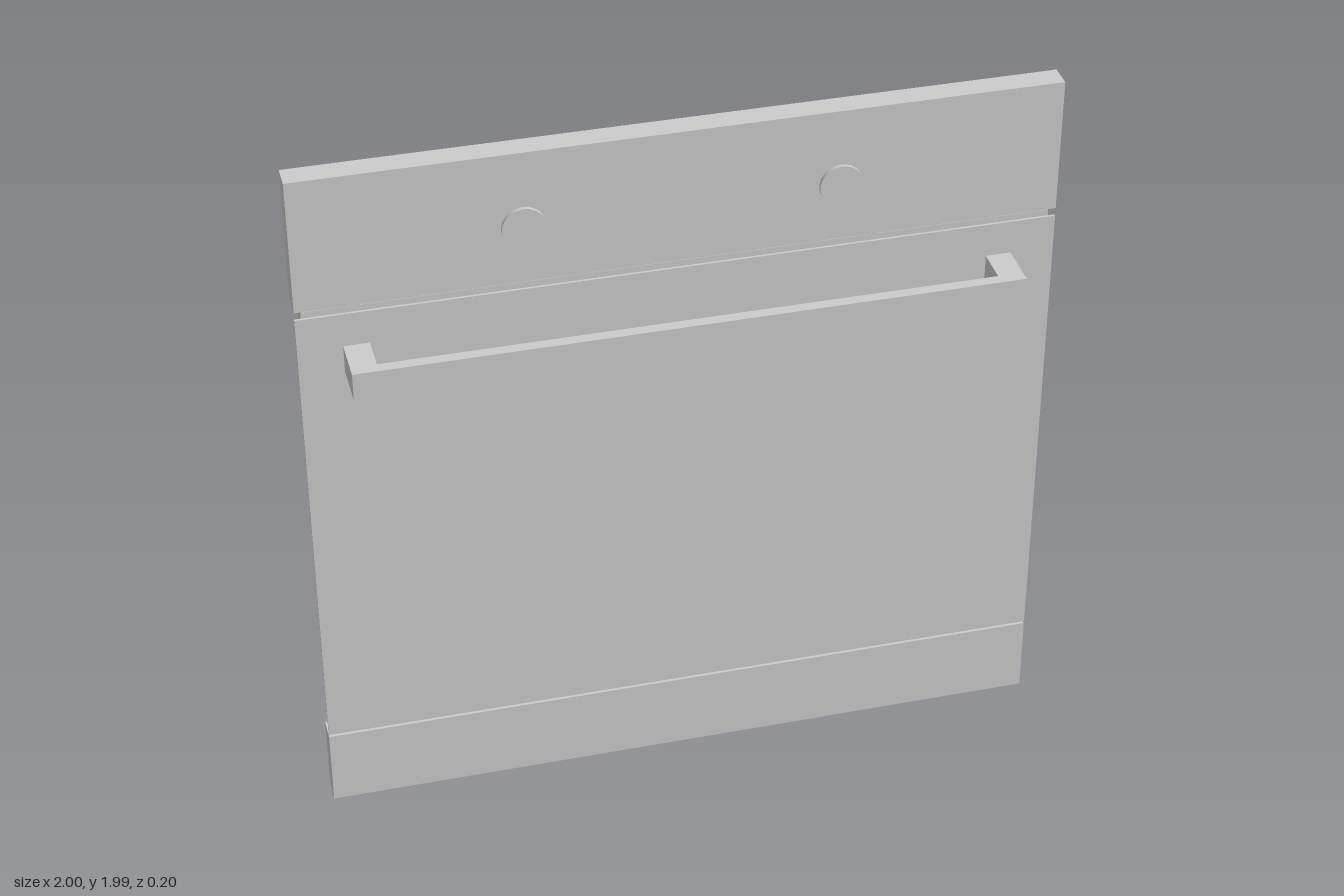
import * as THREE from 'three';

const FRONT = -0.033, BACK = -0.1;

export function createModel() {
  const group = new THREE.Group();
  const solid = new THREE.MeshStandardMaterial({ color: 0xcccccc });
  const sheet = new THREE.MeshStandardMaterial({ color: 0xcccccc, side: THREE.DoubleSide });

  const add = (name, geometry, material = solid) => {
    const mesh = new THREE.Mesh(geometry, material);
    mesh.name = name;
    group.add(mesh);
    return mesh;
  };

  // Box between height and depth limits, centred on x
  const slab = (width, y0, y1, z0, z1) =>
    new THREE.BoxGeometry(width, y1 - y0, z1 - z0).translate(0, (y0 + y1) / 2, (z0 + z1) / 2);

  // Folded sheet-metal tray: a box without its back (-z) face
  const tray = (width, y0, y1, z1) => {
    const geometry = slab(width, y0, y1, BACK, z1);
    geometry.setIndex(Array.from(geometry.index.array).slice(0, 30));
    geometry.clearGroups();
    return geometry;
  };

  // Open-backed panels
  add('controlPanel', tray(2, 1.61, 1.985, FRONT), sheet);
  add('lowerPanel', tray(2, 0, 0.224, FRONT), sheet);
  add('doorBody', tray(1.965, 0.229, 1.604, -0.041), sheet);

  // Thin door front, overhanging the body at the sides
  add('doorFront', slab(2, 0.231, 1.587, -0.04, FRONT));

  // Flat round knobs
  for (const side of [-1, 1]) {
    const knob = add(side > 0 ? 'leftKnob' : 'rightKnob',
      new THREE.CylinderGeometry(0.057, 0.057, 0.01, 40).rotateX(Math.PI / 2));
    knob.position.set(side * 0.412, 1.772, FRONT + 0.005);
  }

  // U-shaped handle: plan outline (x, z) extruded upward
  const outline = [
    [-0.883, FRONT], [-0.883, 0.098], [0.883, 0.098], [0.883, FRONT],
    [0.815, FRONT], [0.815, 0.067], [-0.815, 0.067], [-0.815, FRONT],
  ];
  const shape = new THREE.Shape(outline.map(([x, z]) => new THREE.Vector2(x, -z)));
  const handle = new THREE.ExtrudeGeometry(shape, { depth: 0.077, bevelEnabled: false });
  add('handle', handle.rotateX(-Math.PI / 2).translate(0, 1.415, 0));

  return group;
}
